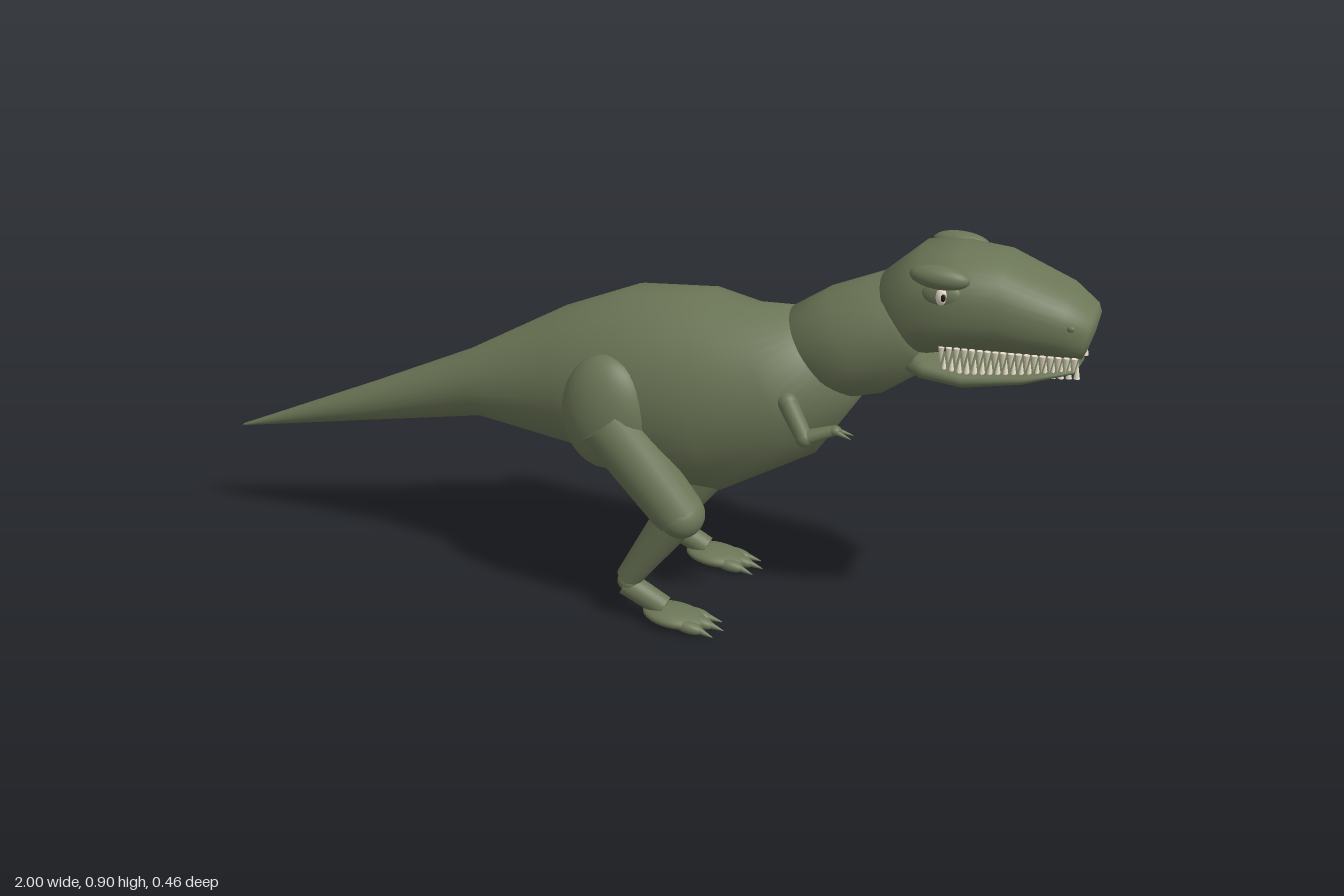
import * as THREE from 'three';

const mat = (name, color) => {
  const m = new THREE.MeshStandardMaterial({ color });
  m.name = name;
  return m;
};

// Skin over tilted oval sections [topX, topY, bottomX, bottomY, halfWidth];
// start and end are the [x, y] points that close it.
function loft(sections, start, end, power = 2, seg = 40) {
  const pos = [], idx = [];
  for (const [tx, ty, bx, by, w] of sections) {
    for (let j = 0; j < seg; j++) {
      const t = (j / seg) * Math.PI * 2;
      const bulge = v => Math.sign(v) * Math.abs(v) ** (2 / power);
      const c = bulge(Math.cos(t)), s = bulge(Math.sin(t));
      pos.push((tx + bx) / 2 + c * (tx - bx) / 2, (ty + by) / 2 + c * (ty - by) / 2, s * w);
    }
  }
  const n = sections.length, p0 = n * seg, p1 = p0 + 1, last = (n - 1) * seg;
  pos.push(...start, 0, ...end, 0);
  for (let j = 0; j < seg; j++) {
    const k = (j + 1) % seg;
    for (let i = 0; i < n - 1; i++) {
      const a = i * seg + j, b = i * seg + k;
      idx.push(a, b, a + seg, b, b + seg, a + seg);
    }
    idx.push(p0, k, j, p1, last + j, last + k);
  }
  const g = new THREE.BufferGeometry();
  g.setAttribute('position', new THREE.Float32BufferAttribute(pos, 3));
  g.setIndex(idx);
  g.computeVertexNormals();
  return g;
}

export function createModel() {
  const model = new THREE.Group();
  model.name = 'dinosaur';
  const skin = mat('olive skin', 0x6b7556);
  const ivory = mat('ivory', 0xe6dcc8);
  const black = mat('pupil black', 0x1c1c18);

  const add = (parent, name, geo, material = skin) => {
    const m = new THREE.Mesh(geo, material);
    m.name = name;
    parent.add(m);
    return m;
  };
  const group = name => {
    const g = new THREE.Group();
    g.name = name;
    model.add(g);
    return g;
  };
  const ball = (parent, name, p, r, material = skin, tilt = 0) => {
    const m = add(parent, name, new THREE.SphereGeometry(1, 28, 18), material);
    m.position.set(...p);
    m.scale.set(...r);
    m.rotation.z = tilt;
    return m;
  };
  // Tapered limb from point p to point q
  const limb = (parent, name, p, q, r1, r2, material = skin) => {
    const a = new THREE.Vector3(...p), b = new THREE.Vector3(...q);
    const d = b.clone().sub(a);
    const m = add(parent, name, new THREE.CylinderGeometry(r2, r1, d.length(), 24), material);
    m.position.copy(a).add(b).multiplyScalar(0.5);
    m.quaternion.setFromUnitVectors(new THREE.Vector3(0, 1, 0), d.normalize());
    return m;
  };

  // Tail and torso in one skin
  add(model, 'bodyAndTail', loft([
    [-0.99, 0.256, -0.99, 0.25, 0.004],
    [-0.62, 0.42, -0.6, 0.328, 0.05],
    [-0.38, 0.53, -0.34, 0.38, 0.086],
    [-0.15, 0.66, -0.1, 0.35, 0.15],
    [0.02, 0.73, 0.06, 0.3, 0.183],
    [0.19, 0.743, 0.24, 0.293, 0.18],
    [0.28, 0.72, 0.44, 0.41, 0.155],
    [0.37, 0.725, 0.53, 0.55, 0.105],
  ], [-1, 0.25], [0.47, 0.65]));

  // Neck with domed ends
  add(model, 'neck', loft([
    [0.365, 0.68, 0.43, 0.59, 0.07],
    [0.37, 0.727, 0.51, 0.55, 0.112],
    [0.45, 0.78, 0.58, 0.57, 0.122],
    [0.56, 0.826, 0.67, 0.635, 0.117],
    [0.6, 0.81, 0.67, 0.68, 0.08],
  ], [0.38, 0.63], [0.65, 0.74]));

  // Skull with upper jaw, and lower jaw
  add(model, 'head', loft([
    [0.56, 0.826, 0.63, 0.67, 0.1],
    [0.64, 0.898, 0.67, 0.675, 0.125],
    [0.72, 0.906, 0.73, 0.69, 0.128],
    [0.81, 0.897, 0.81, 0.698, 0.122],
    [0.94, 0.842, 0.93, 0.7, 0.106],
    [0.99, 0.805, 0.972, 0.7, 0.08],
    [0.998, 0.79, 0.98, 0.715, 0.05],
  ], [0.6, 0.75], [0.992, 0.755], 2.3));
  add(model, 'lowerJaw', loft([
    [0.6, 0.7, 0.63, 0.64, 0.085],
    [0.68, 0.69, 0.66, 0.63, 0.11],
    [0.75, 0.678, 0.75, 0.621, 0.108],
    [0.87, 0.684, 0.87, 0.645, 0.098],
    [0.965, 0.698, 0.965, 0.678, 0.076],
  ], [0.6, 0.67], [0.975, 0.69], 2.3));

  // Teeth along both jaws
  const teeth = group('teeth');
  const toothGeo = new THREE.ConeGeometry(0.0065, 0.034, 8);
  for (const s of [1, -1]) {
    for (let i = 0; i < 18; i++) {
      const f = i / 17, x = 0.705 + 0.258 * f;
      const z = s * (0.1 - 0.012 * f - 0.013 * f * f);
      const upper = add(teeth, 'upperTooth', toothGeo, ivory);
      upper.position.set(x, 0.7, z);
      upper.rotation.x = Math.PI;
      const lower = add(teeth, 'lowerTooth', toothGeo, ivory);
      lower.position.set(x + 0.007, 0.679 + 0.012 * f, z - s * 0.006);
    }
  }

  for (const s of [1, -1]) {
    // Brow, eye and nostril
    const face = group('faceSide');
    ball(face, 'brow', [0.695, 0.868, s * 0.118], [0.06, 0.024, 0.025], skin, -0.06);
    ball(face, 'eyelid', [0.702, 0.83, s * 0.114], [0.042, 0.026, 0.015]);
    ball(face, 'eye', [0.702, 0.831, s * 0.12], [0.014, 0.02, 0.013], ivory);
    ball(face, 'pupil', [0.707, 0.831, s * 0.1315], [0.005, 0.008, 0.003], black);
    ball(face, 'nostril', [0.952, 0.785, s * 0.097], [0.008, 0.006, 0.004]);

    // Hind leg
    const leg = group('hindLeg');
    ball(leg, 'hip', [0.01, 0.495, s * 0.152], [0.1, 0.13, 0.066]);
    limb(leg, 'thigh', [0.015, 0.48, s * 0.162], [0.18, 0.28, s * 0.158], 0.068, 0.056);
    ball(leg, 'knee', [0.182, 0.281, s * 0.158], [0.052, 0.05, 0.057]);
    limb(leg, 'shin', [0.163, 0.262, s * 0.157], [0.06, 0.105, s * 0.153], 0.046, 0.028);
    ball(leg, 'ankle', [0.063, 0.098, s * 0.153], [0.027, 0.024, 0.028]);
    limb(leg, 'instep', [0.055, 0.09, s * 0.153], [0.145, 0.045, s * 0.153], 0.028, 0.025);
    ball(leg, 'foot', [0.168, 0.03, s * 0.153], [0.072, 0.02, 0.05], skin, -0.08);
    for (const k of [-1, 0, 1]) {
      const z = s * 0.153 + k * 0.03;
      ball(leg, 'toe', [0.224 - 0.014 * Math.abs(k), 0.024, z], [0.036, 0.014, 0.016], skin, -0.15);
      limb(leg, 'claw', [0.238 - 0.014 * Math.abs(k), 0.024, z],
        [0.282 - 0.014 * Math.abs(k), 0.012, z + k * 0.006], 0.011, 0.001);
    }

    // Small forearm
    const arm = group('arm');
    ball(arm, 'shoulder', [0.402, 0.565, s * 0.132], [0.022, 0.022, 0.02]);
    limb(arm, 'upperArm', [0.402, 0.565, s * 0.132], [0.445, 0.5, s * 0.152], 0.021, 0.018);
    ball(arm, 'elbow', [0.445, 0.5, s * 0.152], [0.019, 0.019, 0.019]);
    limb(arm, 'lowerArm', [0.445, 0.5, s * 0.152], [0.505, 0.522, s * 0.142], 0.017, 0.011);
    ball(arm, 'hand', [0.507, 0.522, s * 0.142], [0.014, 0.011, 0.013]);
    for (const k of [-1, 1])
      limb(arm, 'finger', [0.507, 0.522, s * 0.142 + k * 0.005],
        [0.542, 0.51, s * 0.138 + k * 0.011], 0.007, 0.001);
  }

  return model;
}
